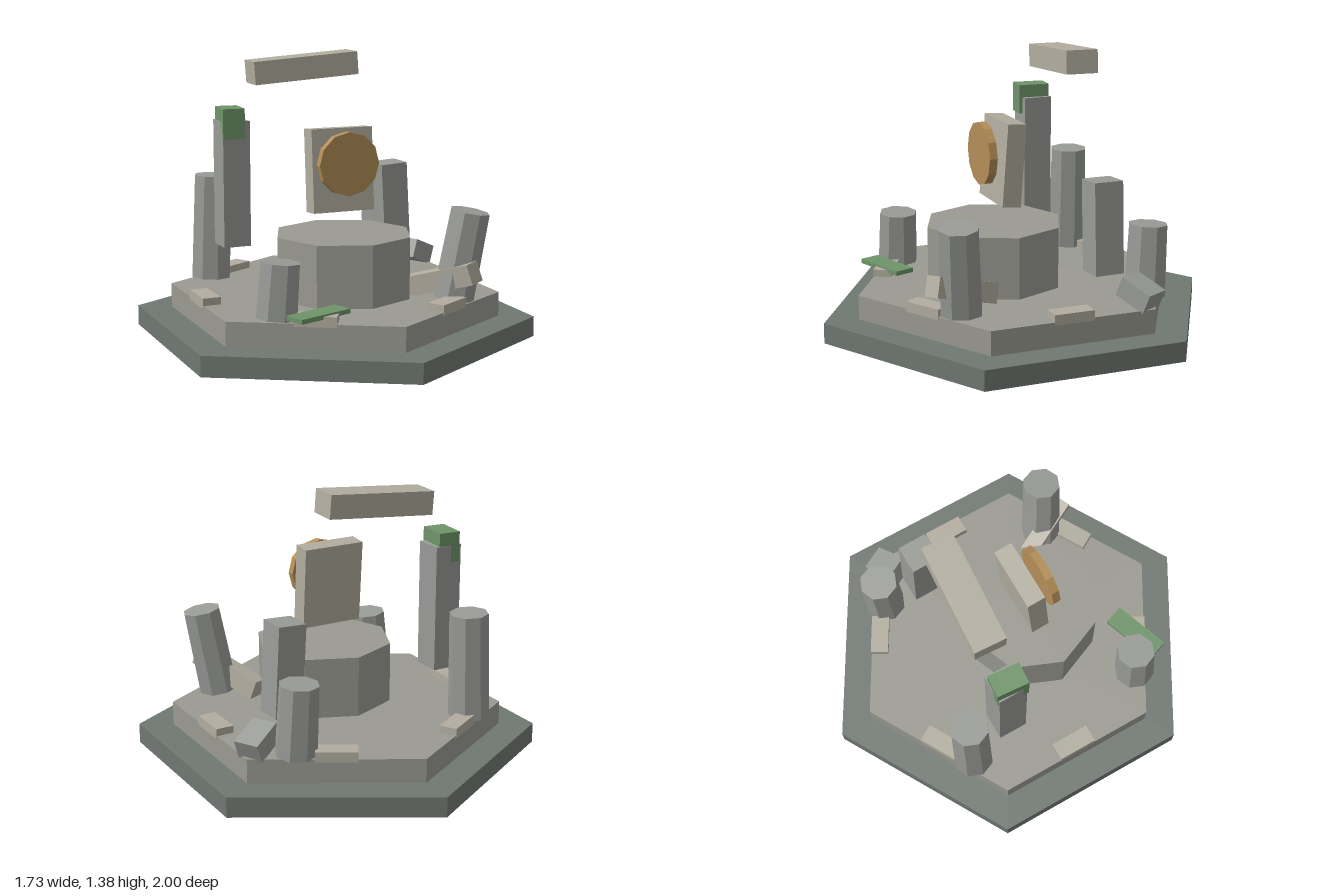
import * as THREE from 'three';

const mat = (color) => new THREE.MeshStandardMaterial({ color, flatShading: true });

export function createModel() {
  const group = new THREE.Group();
  const stone = mat(0x9a9a92);
  const column = mat(0x999b97);
  const dark = mat(0x707872);
  const pale = mat(0xb2ad9f);
  const gold = mat(0xb48f58);
  const green = mat(0x6f946a);

  const add = (name, geometry, material, pos, rot = [0, 0, 0], order = 'XYZ') => {
    const mesh = new THREE.Mesh(geometry, material);
    mesh.name = name;
    mesh.position.set(...pos);
    mesh.rotation.set(...rot, order);
    group.add(mesh);
    return mesh;
  };
  const box = (name, size, material, pos, rot, order) =>
    add(name, new THREE.BoxGeometry(...size), material, pos, rot, order);
  const prism = (name, rTop, rBottom, height, sides, material, pos, rot) =>
    add(name, new THREE.CylinderGeometry(rTop, rBottom, height, sides), material, pos, rot);

  // Two-step hexagonal platform and the octagonal altar
  prism('base', 1, 1, 0.1, 6, dark, [0, 0.05, 0]);
  prism('step', 0.825, 0.825, 0.12, 6, stone, [0, 0.16, 0]);
  prism('altar', 0.345, 0.345, 0.305, 8, stone, [0, 0.3725, 0.125]);

  // Kerb stones at the middle of each platform side
  for (let i = 0; i < 6; i++) {
    const a = (i * Math.PI) / 3;
    box('kerbStone', [0.09, 0.05, 0.2], pale,
      [0.672 * Math.cos(a), 0.231, -0.672 * Math.sin(a)], [0, a, 0]);
  }

  // Broken, leaning round columns: centre, height, tilt
  const columns = [
    [[-0.47, 0.488, -0.48], 0.53, [0, 0, -0.03]],
    [[0.482, 0.395, -0.478], 0.35, [-0.05, 0, 0.03]],
    [[-0.478, 0.36, 0.475], 0.26, [0, 0, -0.08]],
    [[0.472, 0.442, 0.47], 0.435, [0.08, 0, -0.16]],
  ];
  for (const [pos, height, rot] of columns) {
    prism('brokenColumn', 0.096, 0.103, height, 8, column, pos, rot);
  }

  // Floating remains of the archway
  box('tallPillar', [0.14, 0.628, 0.147], column, [-0.435, 0.742, -0.262]);
  box('shortPillar', [0.145, 0.45, 0.147], column, [0.44, 0.57, -0.264], [0, 0.02, 0.055]);
  box('lintel', [0.545, 0.115, 0.16], pale, [-0.056, 1.307, -0.264], [0, -0.055, 0.073]);
  box('mossCap', [0.11, 0.15, 0.16], green, [-0.446, 1.046, -0.255], [0, -0.08, 0]);

  // Floating tablet with its round disc
  box('tablet', [0.32, 0.408, 0.095], pale, [0, 0.831, 0.077], [-0.075, 0, 0]);
  prism('disc', 0.156, 0.156, 0.04, 12, gold, [0, 0.872, 0.182], [Math.PI / 2, 0, 0]);

  // Fallen pieces
  box('fallenBlock', [0.17, 0.1, 0.13], column, [0.637, 0.285, -0.372], [0, 0.5, -0.38]);
  box('fallenBeam', [0.085, 0.1, 0.4], pale, [0.39, 0.32, 0.43], [-0.3, 0.43, 0.12], 'YXZ');
  box('mossPlank', [0.3, 0.022, 0.105], green, [-0.325, 0.254, 0.583], [0, 0.345, 0]);

  return group;
}
